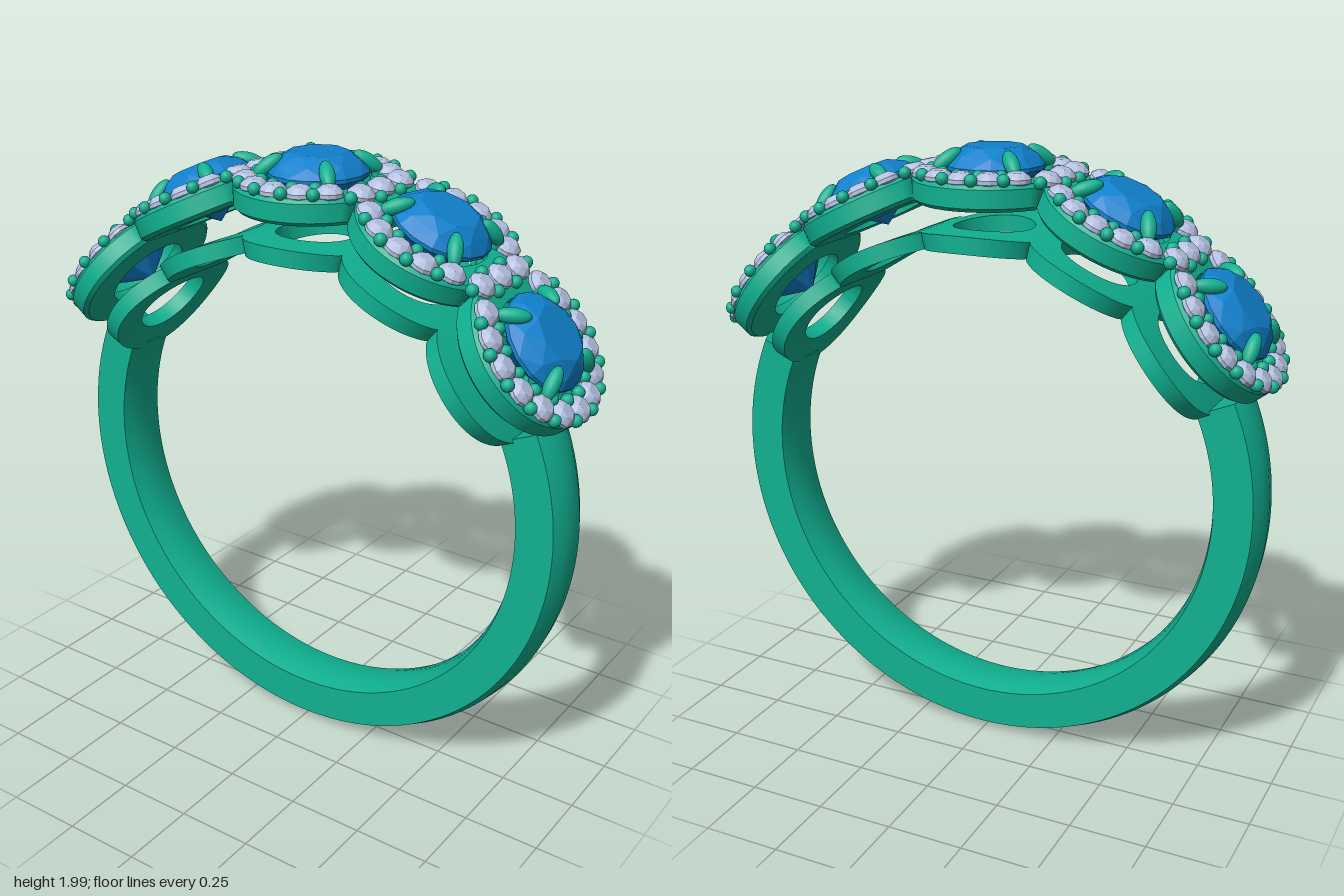
import * as THREE from 'three';
import { toCreasedNormals } from 'three/addons/utils/BufferGeometryUtils.js';
import { ConvexGeometry } from 'three/addons/geometries/ConvexGeometry.js';

const RAD = Math.PI / 180;
const CENTRE_Y = 0.933;      // centre of the finger hole
const STEP = 26 * RAD;       // angle between neighbouring clusters
const TOP = 0.978;           // radius of the halo top surface
const metal = new THREE.MeshStandardMaterial({ color: 0x10b090, side: THREE.DoubleSide });
const blue = new THREE.MeshStandardMaterial({ color: 0x1080cc });
const pale = new THREE.MeshStandardMaterial({ color: 0xb4c0e0 });

function add(parent, name, geometry, material, x = 0, y = 0, z = 0) {
  const mesh = new THREE.Mesh(geometry, material);
  mesh.name = name;
  mesh.position.set(x, y, z);
  parent.add(mesh);
  return mesh;
}

const points = (list) => list.map(([x, y]) => new THREE.Vector2(x, y));

// Faceted round-cut stone; girdle at y = 0
function cutStone(rx, rz, crown, pavilion, n) {
  const pts = [new THREE.Vector3(0, -pavilion, 0)];
  const loop = (r, y, count, turn) => {
    for (let i = 0; i < count; i++) {
      const a = ((i + turn) / count) * Math.PI * 2;
      pts.push(new THREE.Vector3(Math.cos(a) * r * rx, y, Math.sin(a) * r * rz));
    }
  };
  loop(0.58, crown, n, 0);
  loop(0.84, crown * 0.6, n, 0.5);
  loop(1, 0.006, n * 2, 0);
  loop(1, -0.006, n * 2, 0);
  loop(0.55, -pavilion * 0.52, n, 0.5);
  return new ConvexGeometry(pts);
}

// Oval ring plate trimmed by the radial planes between clusters, optionally bent round the finger
function trimmedRing(profile, squash, trimLow, trimHigh, bendRadius) {
  const geo = new THREE.LatheGeometry(points(profile), 96);
  const p = geo.attributes.position;
  for (let i = 0; i < p.count; i++) {
    let x = p.getX(i) * squash;
    const y = p.getY(i);
    const limit = bendRadius ? bendRadius * STEP / 2 : y * Math.tan(STEP / 2);
    if (trimHigh) x = Math.min(x, limit);
    if (trimLow) x = Math.max(x, -limit);
    if (bendRadius) {
      const a = x / bendRadius;
      p.setXY(i, y * Math.sin(a), y * Math.cos(a));
    } else p.setX(i, x);
  }
  return toCreasedNormals(geo, 35 * RAD);
}

const haloProfile = [
  [0.15, TOP - 0.08], [0.262, TOP - 0.08], [0.275, TOP - 0.068], [0.275, TOP - 0.012], [0.265, TOP],
  [0.17, TOP], [0.17, TOP - 0.04], [0.15, TOP - 0.04], [0.15, TOP - 0.08],
];
const galleryProfile = [
  [0.14, 0.768], [0.2, 0.768], [0.25, 0.768], [0.25, 0.822], [0.2, 0.822], [0.14, 0.822], [0.14, 0.768],
];
const centreGem = cutStone(0.157, 0.163, 0.062, 0.128, 8);
const smallGem = cutStone(0.043, 0.043, 0.025, 0.035, 6);
const beadGeo = new THREE.SphereGeometry(0.02, 12, 8);
const clawGeo = new THREE.SphereGeometry(1, 16, 12).scale(0.055, 0.024, 0.024);
const postGeo = new THREE.CylinderGeometry(0.016, 0.016, 0.09, 10);

function cluster(i) {
  const g = new THREE.Group();
  g.name = 'cluster';
  g.rotation.z = -i * STEP;
  const low = i > -2, high = i < 2;
  add(g, 'haloRim', trimmedRing(haloProfile, 0.91, low, high), metal);
  add(g, 'galleryRing', trimmedRing(galleryProfile, 0.88, low, high, 0.795), metal);
  add(g, 'centreStone', centreGem, blue, 0, TOP + 0.022, 0);

  // Four claws over the centre stone
  for (const sx of [-1, 1]) for (const sz of [-1, 1]) {
    const arm = new THREE.Group();
    arm.name = 'claw';
    arm.rotation.y = Math.atan2(-sz, sx);
    add(arm, 'clawTip', clawGeo, metal, 0.155, TOP + 0.045, 0).rotation.z = -35 * RAD;
    add(arm, 'clawPost', postGeo, metal, 0.182, TOP - 0.02, 0);
    g.add(arm);
  }

  // Halo stones and the beads that hold them
  for (let k = 0; k < 16; k++) {
    const a = (k * 22.5) * RAD;
    const s = Math.sin(a), c = Math.cos(a);
    const inShared = (v) => (v > 0.75 && high) || (v < -0.75 && low);
    if (!inShared(s)) add(g, 'haloStone', smallGem, pale, 0.215 * s, TOP + 0.007, 0.228 * c);
    const b = a + 11.25 * RAD;
    const sb = Math.sin(b), cb = Math.cos(b);
    if (!inShared(sb)) {
      add(g, 'outerBead', beadGeo, metal, 0.242 * sb, TOP + 0.013, 0.263 * cb);
      add(g, 'innerBead', beadGeo, metal, 0.178 * sb, TOP + 0.013, 0.188 * cb);
    }
  }
  return g;
}

// Stones shared by two neighbouring halos
function junction(i) {
  const g = new THREE.Group();
  g.name = 'junction';
  g.rotation.z = -(i + 0.5) * STEP;
  const r = TOP / Math.cos(STEP / 2);
  for (const z of [-0.105, 0, 0.105]) add(g, 'sharedStone', smallGem, pale, 0, r + 0.004, z);
  for (const sz of [-1, 1]) {
    for (const sx of [-1, 1]) add(g, 'sharedBead', beadGeo, metal, sx * 0.036, r, sz * 0.053);
    add(g, 'valleyBead', beadGeo, metal, 0, r + 0.005, sz * 0.162);
  }
  return g;
}

// Open band with softly domed outer and inner faces
function shank() {
  const g = new THREE.Group();
  g.name = 'shank';
  const section = points([
    [0.78, -0.09], [0.905, -0.09], [0.923, -0.05], [0.93, 0], [0.923, 0.05], [0.905, 0.09],
    [0.78, 0.09], [0.768, 0.05], [0.763, 0], [0.768, -0.05], [0.78, -0.09],
  ]);
  const end = 114 * RAD;
  const band = new THREE.LatheGeometry(section, 120, -end, 2 * end);
  add(g, 'band', toCreasedNormals(band, 35 * RAD).rotateX(Math.PI / 2), metal);
  for (const phi of [-end, end]) {
    const cap = new THREE.ShapeGeometry(new THREE.Shape(section));
    add(g, 'bandEnd', cap.rotateY(phi - Math.PI / 2).rotateX(Math.PI / 2), metal);
  }
  return g;
}

export function createModel() {
  const model = new THREE.Group();
  model.name = 'ring';
  const body = new THREE.Group();
  body.name = 'ringBody';
  body.position.y = CENTRE_Y;
  body.add(shank());
  for (let i = -2; i <= 2; i++) body.add(cluster(i));
  for (let i = -2; i < 2; i++) body.add(junction(i));
  model.add(body);
  return model;
}
